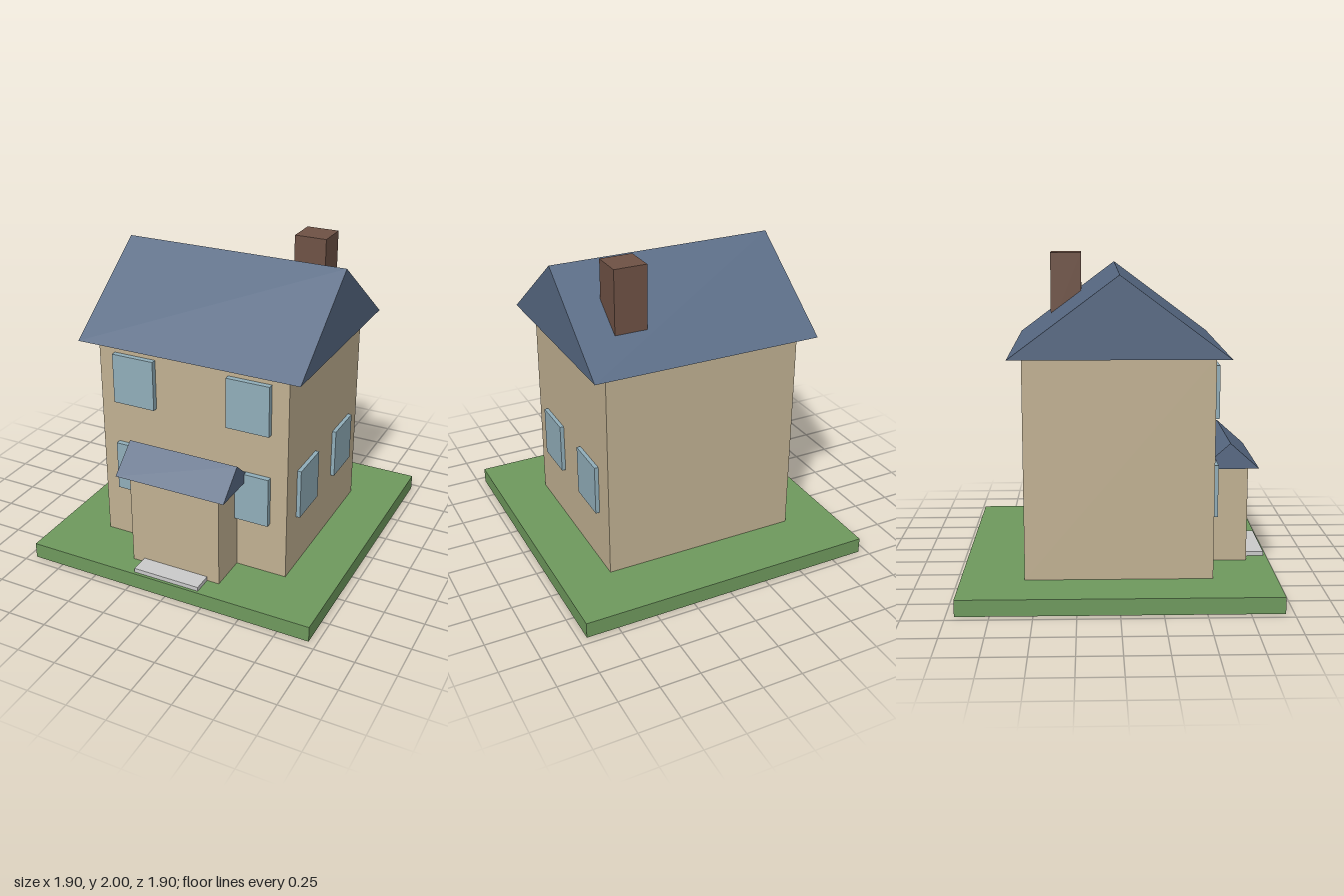
import * as THREE from 'three';

const mat = (color) => new THREE.MeshStandardMaterial({ color, flatShading: true });

export function createModel() {
  const house = new THREE.Group();
  house.name = 'house';

  const grass = mat(0x6f9a5e);
  const wall = mat(0xc2b293);
  const slate = mat(0x586a84);
  const glass = mat(0x92afbb);
  const brick = mat(0x6f5245);
  const stone = mat(0xcccccc);

  // Box given by its lower and upper corners
  function box(name, material, [x0, y0, z0], [x1, y1, z1]) {
    const mesh = new THREE.Mesh(new THREE.BoxGeometry(x1 - x0, y1 - y0, z1 - z0), material);
    mesh.position.set((x0 + x1) / 2, (y0 + y1) / 2, (z0 + z1) / 2);
    mesh.name = name;
    house.add(mesh);
  }

  // Closed gable prism with its ridge along x
  function gableRoof(name, halfLength, halfDepth, eaveY, height, z) {
    const gable = new THREE.Shape([
      new THREE.Vector2(-halfDepth, 0),
      new THREE.Vector2(halfDepth, 0),
      new THREE.Vector2(0, height),
    ]);
    const geometry = new THREE.ExtrudeGeometry(gable, { depth: halfLength * 2, bevelEnabled: false });
    geometry.translate(0, 0, -halfLength);
    geometry.rotateY(Math.PI / 2);
    const mesh = new THREE.Mesh(geometry, slate);
    mesh.position.set(0, eaveY, z);
    mesh.name = name;
    house.add(mesh);
  }

  // Ground, main body and roof
  box('lawn', grass, [-0.95, 0, -0.95], [0.95, 0.1, 0.95]);
  box('walls', wall, [-0.63, 0.1, -0.565], [0.63, 1.44, 0.565]);
  gableRoof('mainRoof', 0.727, 0.645, 1.44, 0.48, 0);
  box('chimney', brick, [0.3, 1.5, -0.425], [0.505, 2, -0.225]);

  // Front porch with its own roof and a door step
  box('porch', wall, [-0.3, 0.1, 0.565], [0.3, 0.71, 0.81]);
  gableRoof('porchRoof', 0.363, 0.18, 0.71, 0.16, 0.69);
  box('doorStep', stone, [-0.22, 0.1, 0.77], [0.22, 0.127, 0.932]);

  // Front windows on both floors, side windows on the left wall only
  for (const side of [-1, 1]) {
    const c = side * 0.382;
    for (const sill of [0.45, 1.055]) {
      box('frontWindow', glass, [c - 0.139, sill, 0.555], [c + 0.139, sill + 0.32, 0.6]);
    }
    const z = side * 0.28;
    box('sideWindow', glass, [0.62, 0.45, z - 0.14], [0.655, 0.77, z + 0.14]);
  }

  return house;
}
